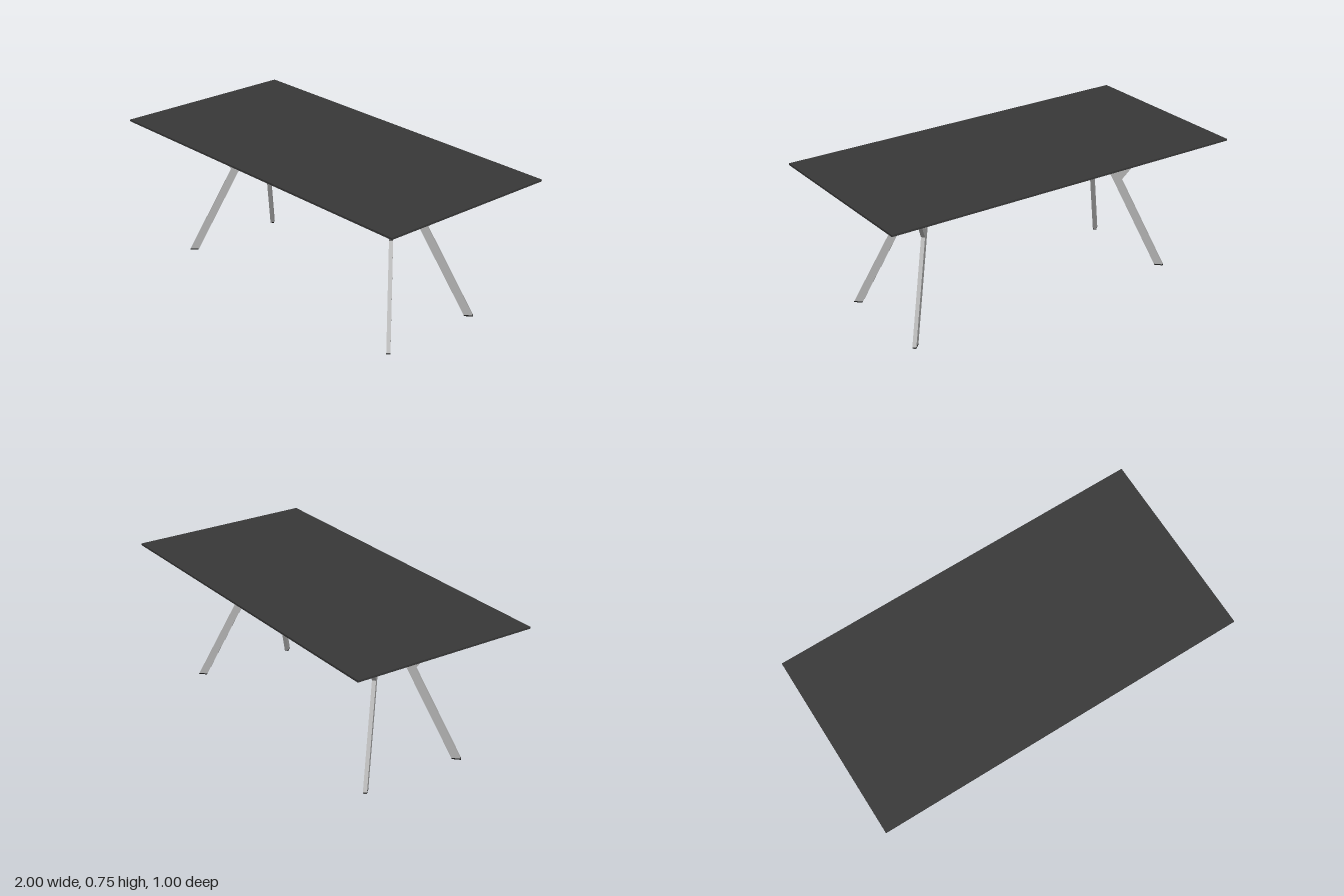
import * as THREE from 'three';

const TOP_Y = 0.75, FRAME_TOP = 0.72, FRAME_BOTTOM = 0.71, APEX_X = 0.49;

const toShape = pts => new THREE.Shape(pts.map(p => new THREE.Vector2(...p)));

export function createModel() {
  const topMat = new THREE.MeshStandardMaterial({ color: 0x383838 });
  topMat.name = 'charcoal';
  const metalMat = new THREE.MeshStandardMaterial({ color: 0xb2b2b2 });
  metalMat.name = 'grey metal';
  const footMat = new THREE.MeshStandardMaterial({ color: 0x1a1a1a });
  footMat.name = 'black plastic';

  const model = new THREE.Group();
  model.name = 'table';
  const add = (name, geometry, material, parent = model) => {
    const mesh = new THREE.Mesh(geometry, material);
    mesh.name = name;
    parent.add(mesh);
    return mesh;
  };

  // Tabletop: thin edge band above a bevelled underside
  add('tabletop', new THREE.BoxGeometry(2, 0.01, 1).translate(0, TOP_Y - 0.005, 0), topMat);
  const bevel = new THREE.BoxGeometry(2, 0.02, 1);
  const pos = bevel.attributes.position;
  for (let i = 0; i < pos.count; i++) {
    if (pos.getY(i) < 0) {
      pos.setX(i, Math.sign(pos.getX(i)) * 0.9);
      pos.setZ(i, Math.sign(pos.getZ(i)) * 0.4);
    }
  }
  bevel.computeVertexNormals();
  add('tabletopBevel', bevel.translate(0, 0.73, 0), topMat);

  // Flat under-frame: a central beam with a triangular ring at each end
  const frameH = FRAME_TOP - FRAME_BOTTOM;
  const frameY = (FRAME_TOP + FRAME_BOTTOM) / 2;
  add('centreBeam', new THREE.BoxGeometry(1, frameH, 0.04).translate(0, frameY, 0), metalMat);
  const ring = toShape([[0.462, 0], [0.772, -0.31], [0.795, -0.31], [0.795, 0.31], [0.772, 0.31]]);
  ring.holes.push(new THREE.Path([[0.518, 0], [0.755, 0.237], [0.755, -0.237]]
    .map(p => new THREE.Vector2(...p))));
  const ringGeo = new THREE.ExtrudeGeometry(ring, { depth: frameH, bevelEnabled: false });
  ringGeo.rotateX(-Math.PI / 2).translate(0, FRAME_BOTTOM, 0);
  add('leftFrameTriangle', ringGeo, metalMat);
  add('rightFrameTriangle', ringGeo, metalMat).rotation.y = Math.PI;

  // Forked leg profile: u runs outwards along the diagonal, y is up
  const T = 0.02, CAP = 0.006;
  const slope = (0.418 - 0.0675) / FRAME_BOTTOM;
  const outer = y => 0.418 - slope * y;
  const inner = y => outer(y) - 0.045;
  const extrude = pts => new THREE.ExtrudeGeometry(toShape(pts), { depth: T, bevelEnabled: false })
    .translate(0, 0, -T / 2);
  const legGeo = extrude([
    [inner(CAP), CAP], [outer(CAP), CAP],
    [outer(0.485), 0.485], [0.336, FRAME_BOTTOM], [0.29, FRAME_BOTTOM],
    [outer(0.524), 0.524], [outer(FRAME_BOTTOM), FRAME_BOTTOM], [inner(FRAME_BOTTOM), FRAME_BOTTOM],
  ]);
  const footGeo = extrude([
    [inner(0), 0], [outer(0), 0], [outer(CAP), CAP], [inner(CAP), CAP],
  ]);

  // Four legs splayed along the diagonals
  for (const sx of [1, -1]) {
    for (const sz of [1, -1]) {
      const leg = new THREE.Group();
      leg.name = (sz > 0 ? 'front' : 'back') + (sx > 0 ? 'Left' : 'Right') + 'Leg';
      add('forkedLeg', legGeo, metalMat, leg);
      add('footCap', footGeo, footMat, leg);
      leg.position.x = sx * APEX_X;
      leg.rotation.y = -Math.atan2(sz, sx);
      model.add(leg);
    }
  }
  return model;
}
